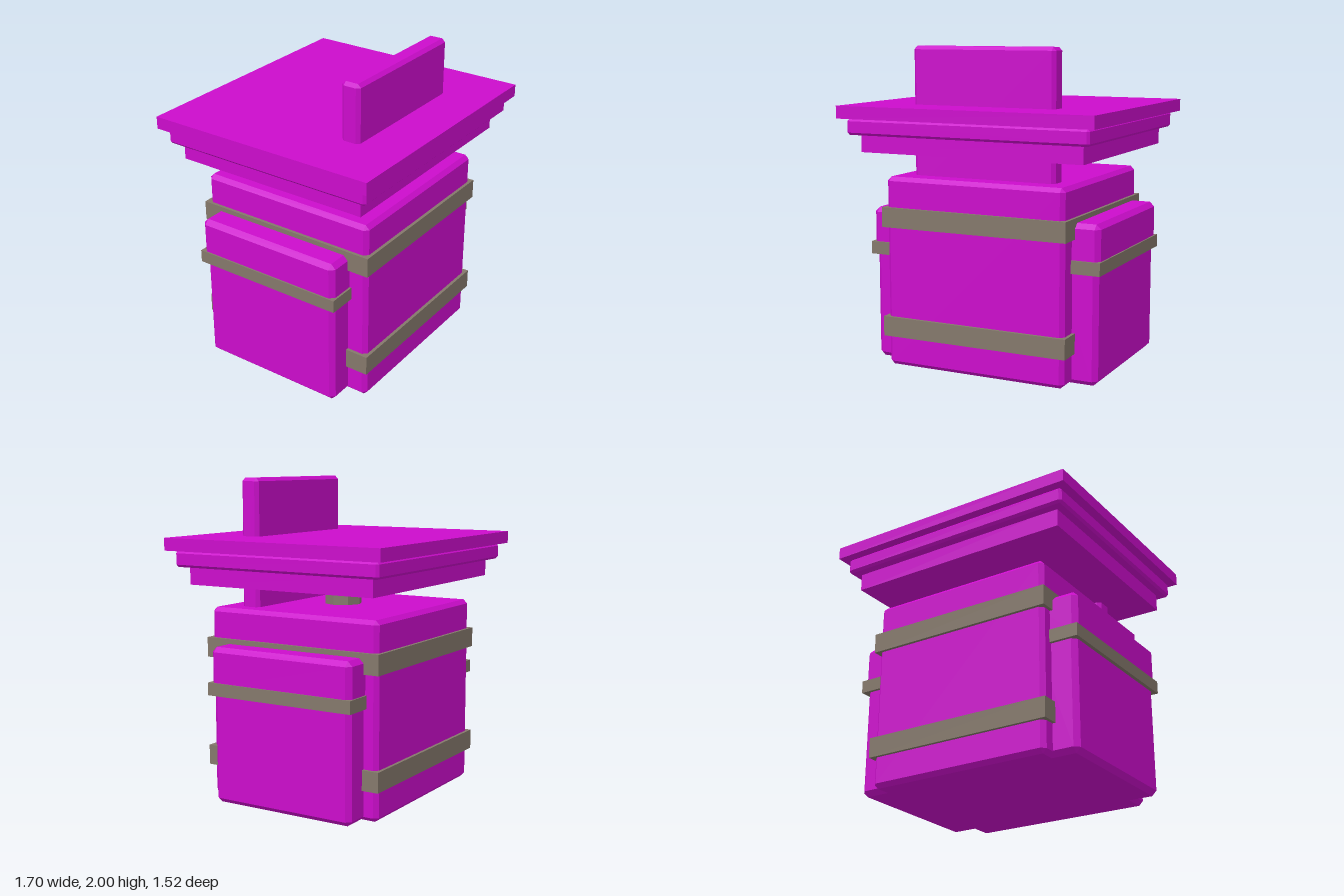
import * as THREE from 'three';
import { ConvexGeometry } from 'three/addons/geometries/ConvexGeometry.js';

const magenta = new THREE.MeshStandardMaterial({ name: 'magenta', color: 0xcc0ccc });
const strapGrey = new THREE.MeshStandardMaterial({ name: 'strapGrey', color: 0x84786b });

// Box with every edge cut at 45 degrees: three corner points at each of eight corners.
function chamferBox(w, h, d, c) {
  const points = [];
  for (const sx of [-1, 1]) for (const sy of [-1, 1]) for (const sz of [-1, 1]) {
    for (const [a, b, e] of [[0, c, c], [c, 0, c], [c, c, 0]]) {
      points.push(new THREE.Vector3(sx * (w / 2 - a), sy * (h / 2 - b), sz * (d / 2 - e)));
    }
  }
  return new ConvexGeometry(points);
}

// Adds a box given by its [min, max] ranges; chamfer 0 keeps sharp edges.
function addBox(parent, name, material, [x0, x1], [y0, y1], [z0, z1], chamfer = 0) {
  const size = [x1 - x0, y1 - y0, z1 - z0];
  const geometry = chamfer ? chamferBox(...size, chamfer) : new THREE.BoxGeometry(...size);
  const mesh = new THREE.Mesh(geometry, material);
  mesh.name = name;
  mesh.position.set((x0 + x1) / 2, (y0 + y1) / 2, (z0 + z1) / 2);
  parent.add(mesh);
}

export function createModel() {
  const model = new THREE.Group();
  model.name = 'strappedContainer';

  // Main body and the two straps around it
  addBox(model, 'body', magenta, [-0.6, 0.6], [0, 1.2], [-0.6, 0.6], 0.026);
  addBox(model, 'lowerStrap', strapGrey, [-0.62, 0.62], [0.19, 0.315], [-0.62, 0.62]);
  addBox(model, 'upperStrap', strapGrey, [-0.62, 0.62], [0.885, 1.01], [-0.62, 0.62]);

  // Side pockets with flap and strap, one on each side
  for (const [side, s] of [['left', 1], ['right', -1]]) {
    const pocket = new THREE.Group();
    pocket.name = side + 'Pocket';
    const span = (inner, outer) => (s > 0 ? [inner, outer] : [-outer, -inner]);
    addBox(pocket, 'pocketBody', magenta, span(0.45, 0.76), [0, 0.8], [-0.51, 0.47], 0.03);
    addBox(pocket, 'pocketFlap', magenta, span(0.45, 0.773), [0.7, 0.98], [-0.52, 0.48], 0.03);
    addBox(pocket, 'pocketStrap', strapGrey, span(0.45, 0.783), [0.68, 0.76], [-0.53, 0.493]);
    model.add(pocket);
  }

  // Octagonal post carrying the lid
  const post = new THREE.Mesh(new THREE.CylinderGeometry(0.12, 0.12, 0.4, 8).toNonIndexed(), strapGrey);
  post.geometry.computeVertexNormals();
  post.name = 'lidPost';
  post.position.y = 1.25;
  model.add(post);

  // Upright plate passing through the lid
  addBox(model, 'uprightPlate', magenta, [-0.48, 0.475], [1.1, 2], [0.33, 0.455], 0.021);

  // Stepped lid
  addBox(model, 'lidBottom', magenta, [-0.74, 0.74], [1.35, 1.47], [-0.65, 0.65]);
  addBox(model, 'lidMiddle', magenta, [-0.803, 0.8], [1.46, 1.56], [-0.717, 0.72], 0.015);
  addBox(model, 'lidTop', magenta, [-0.848, 0.848], [1.562, 1.64], [-0.76, 0.76]);

  return model;
}
